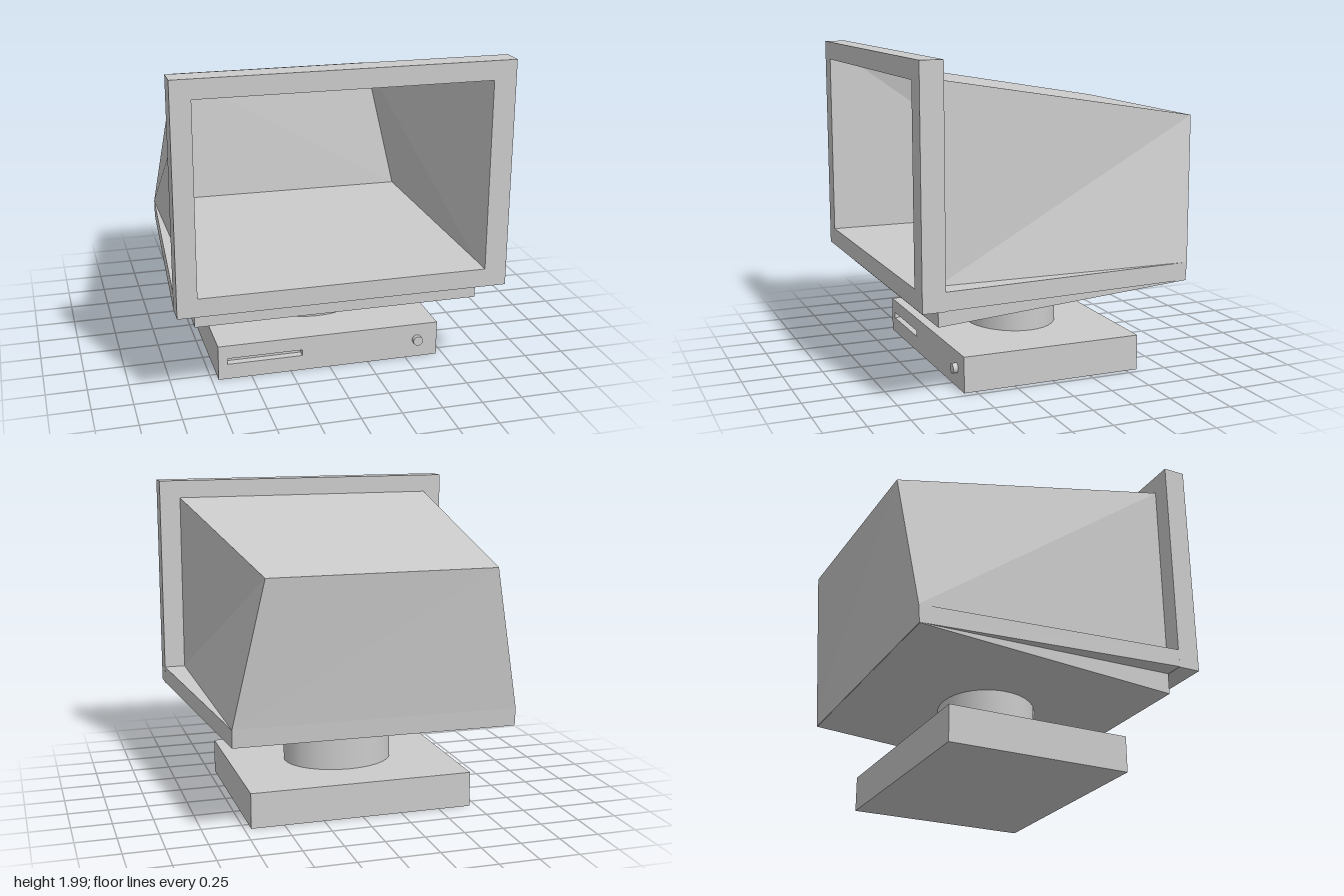
import * as THREE from 'three';

const grey = new THREE.MeshStandardMaterial({ color: 0xcccccc, flatShading: true });
const thin = new THREE.MeshStandardMaterial({ color: 0xcccccc, flatShading: true, side: THREE.DoubleSide });
const smooth = new THREE.MeshStandardMaterial({ color: 0xcccccc });

function add(group, name, geometry, material, x = 0, y = 0, z = 0) {
  const mesh = new THREE.Mesh(geometry, material);
  mesh.name = name;
  mesh.position.set(x, y, z);
  group.add(mesh);
  return mesh;
}

// Joins a front and a back quad (both: low right, low left, top left, top right of the model).
function taper(front, back, { floor = true, frontCap = true } = {}) {
  const pos = [];
  const quad = (a, b, c, d) => pos.push(...a, ...b, ...c, ...a, ...c, ...d);
  for (let i = floor ? 0 : 1; i < 4; i++) {
    const j = (i + 1) % 4;
    quad(front[i], back[i], back[j], front[j]);
  }
  if (frontCap) quad(...front);
  quad(back[3], back[2], back[1], back[0]);
  const geo = new THREE.BufferGeometry();
  geo.setAttribute('position', new THREE.Float32BufferAttribute(pos, 3));
  geo.computeVertexNormals();
  return geo;
}

function rect(path, x0, y0, x1, y1) {
  path.moveTo(x0, y0);
  path.lineTo(x1, y0);
  path.lineTo(x1, y1);
  path.lineTo(x0, y1);
  path.closePath();
  return path;
}

// Rectangular plate with a rectangular opening, extruded along z.
function framePlate(outer, inner, depth) {
  const shape = rect(new THREE.Shape(), ...outer);
  shape.holes.push(rect(new THREE.Path(), ...inner));
  return new THREE.ExtrudeGeometry(shape, { depth, bevelEnabled: false });
}

export function createModel() {
  const model = new THREE.Group();
  model.name = 'monitor';

  // Front frame around the open screen
  add(model, 'screenFrame', framePlate([-1, 0.597, 1, 1.985], [-0.88, 0.71, 0.865, 1.87], 0.138), grey, 0, 0, 0.787);

  // Hollow hood narrowing to the back, open towards the screen
  add(model, 'hood', taper(
    [[-0.88, 0.71, 0.79], [0.865, 0.71, 0.79], [0.865, 1.87, 0.79], [-0.88, 1.87, 0.79]],
    [[-0.88, 0.7, -0.845], [0.865, 0.7, -0.822], [0.685, 1.58, -0.93], [-0.705, 1.58, -0.93]],
    { floor: false, frontCap: false }), thin);

  // Tray under the hood, also the floor seen through the screen
  add(model, 'tray', taper(
    [[-1, 0.6, 0.79], [1, 0.6, 0.79], [1, 0.71, 0.79], [-1, 0.71, 0.79]],
    [[-0.88, 0.59, -0.838], [0.865, 0.59, -0.815], [0.865, 0.7, -0.822], [-0.88, 0.7, -0.845]]), grey);

  // Wedge sloping down to the front beneath the tray
  add(model, 'wedge', taper(
    [[-0.88, 0.47, 0.787], [0.865, 0.47, 0.787], [0.865, 0.64, 0.787], [-0.88, 0.64, 0.787]],
    [[-0.879, 0.588, -0.835], [0.864, 0.588, -0.812], [0.864, 0.597, -0.812], [-0.879, 0.597, -0.835]]), grey);

  // Oval neck
  const neck = add(model, 'neck', new THREE.CylinderGeometry(1, 1, 0.36, 32), smooth, 0, 0.38, 0);
  neck.scale.set(0.352, 1, 0.29);

  // Base with a slot in its front
  const base = new THREE.Group();
  base.name = 'base';
  model.add(base);
  const slotDepth = 0.05;
  add(base, 'baseBody', new THREE.BoxGeometry(1.416, 0.222, 1.15 - slotDepth), grey, 0, 0.111, -slotDepth / 2);
  add(base, 'slottedFront', framePlate([-0.708, 0, 0.708, 0.222], [-0.652, 0.098, -0.177, 0.136], slotDepth),
    grey, 0, 0, 0.575 - slotDepth);

  // Round power button
  const button = add(base, 'powerButton', new THREE.CylinderGeometry(0.031, 0.031, 0.04, 24), smooth, 0.575, 0.117, 0.585);
  button.rotation.x = Math.PI / 2;

  return model;
}
